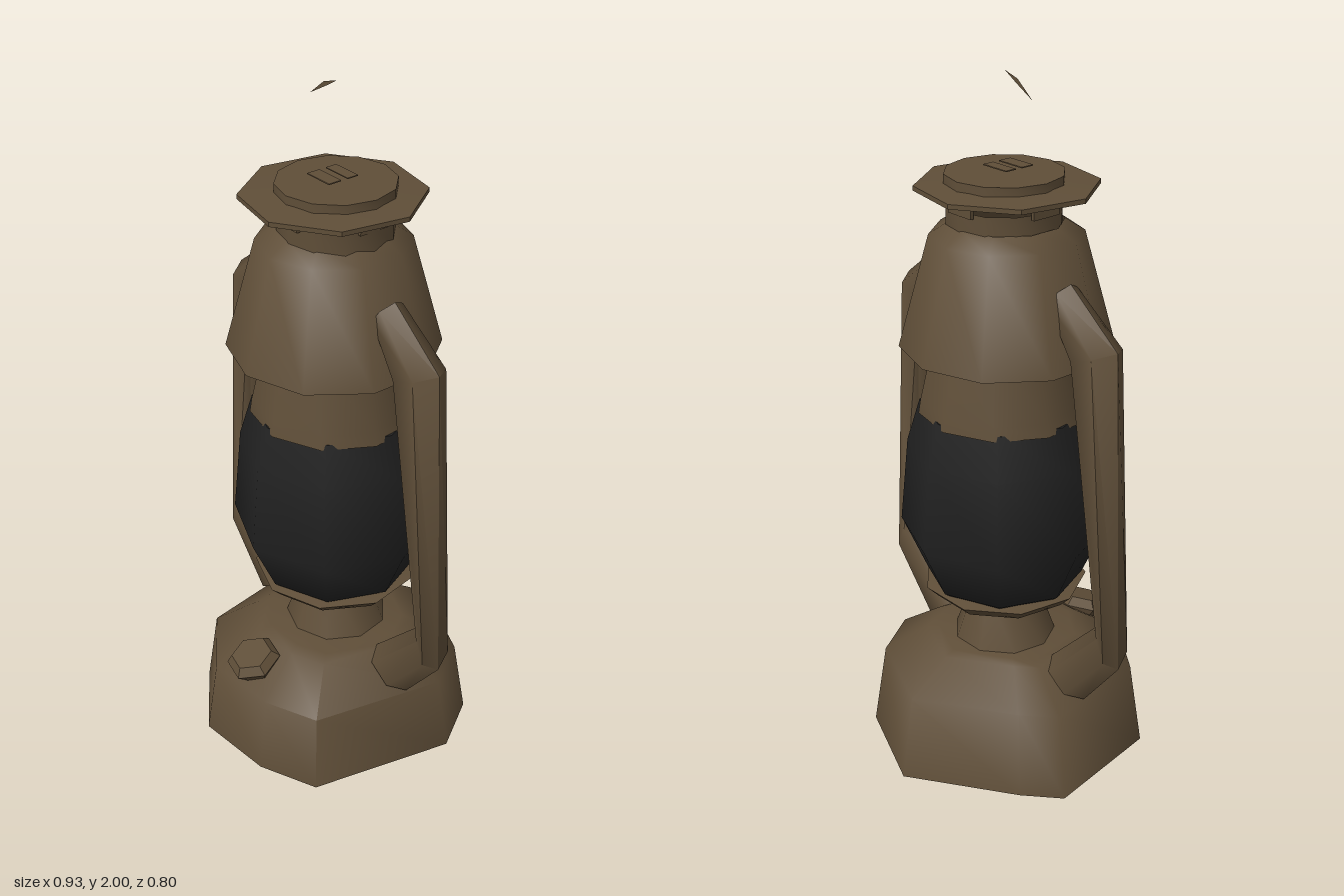
import * as THREE from 'three';
import { toCreasedNormals } from 'three/addons/utils/BufferGeometryUtils.js';

const bronze = new THREE.MeshStandardMaterial({ color: 0x5f4e38, side: THREE.DoubleSide });
bronze.name = 'aged bronze';
const soot = new THREE.MeshStandardMaterial({ color: 0x212121, side: THREE.DoubleSide });
soot.name = 'sooty black';

// Skin between rings of points, listed from bottom to top, with optional end caps
function loft(rings, capBottom = false, capTop = false, crease = 0.95) {
  const pos = [];
  const tri = (...pts) => pts.forEach((p) => pos.push(p.x, p.y, p.z));
  const n = rings[0].length;
  const centre = (ring) => ring.reduce((s, p) => s.add(p), new THREE.Vector3()).divideScalar(n);
  for (let r = 0; r < rings.length - 1; r++) {
    const a = rings[r], b = rings[r + 1];
    for (let i = 0; i < n; i++) {
      const j = (i + 1) % n;
      tri(a[i], a[j], b[i]);
      tri(a[j], b[j], b[i]);
    }
  }
  const first = rings[0], last = rings[rings.length - 1];
  for (let i = 0; i < n; i++) {
    const j = (i + 1) % n;
    if (capBottom) tri(first[j], first[i], centre(first));
    if (capTop) tri(last[i], last[j], centre(last));
  }
  const g = new THREE.BufferGeometry();
  g.setAttribute('position', new THREE.Float32BufferAttribute(pos, 3));
  return toCreasedNormals(g, crease);
}

// Few-sided turned rings from [radius, height] pairs
function turned(profile, sides, phase = 0) {
  return profile.map(([r, y]) => Array.from({ length: sides }, (_, i) => {
    const a = phase + (i / sides) * Math.PI * 2;
    return new THREE.Vector3(Math.sin(a) * r, y, Math.cos(a) * r);
  }));
}

export function createModel() {
  const model = new THREE.Group();
  model.name = 'lantern';
  const add = (name, geometry, material = bronze) => {
    const mesh = new THREE.Mesh(geometry, material);
    mesh.name = name;
    model.add(mesh);
    return mesh;
  };

  // Fuel tank with an irregular outline and a sloping shoulder
  const outline = [[-0.13, 0.395], [0.11, 0.375], [0.28, 0.3], [0.38, -0.12], [0.28, -0.28],
    [-0.01, -0.4], [-0.3, -0.205], [-0.395, -0.12], [-0.335, 0.25]];
  const tank = [[1, 0, 0], [0.91, 0.24, 0.012], [0.58, 0.33, 0.008], [0.5, 0.34, 0.005]].map(([s, y, shift]) =>
    outline.map(([x, z]) => new THREE.Vector3(x * s + shift, y, z * s + shift)));
  add('fuelTank', loft(tank, true, true, 1.15));

  // Tilted filler cap on the front shoulder
  const filler = add('fillerCap', loft(turned([[0.05, -0.045], [0.08, 0], [0.06, 0.025]], 6, 0.3), true, true, 0.4));
  filler.position.set(0, 0.308, 0.31);
  filler.rotation.x = 0.3;

  // Burner neck flaring into the globe holder
  add('burner', loft(turned([[0.15, 0.335], [0.095, 0.495], [0.205, 0.492], [0.238, 0.525], [0.19, 0.535]], 9)));

  // Dark globe
  add('globe', loft(turned([[0.205, 0.525], [0.225, 0.54], [0.298, 0.7], [0.275, 0.95], [0.238, 1.075]], 8),
    true, true, 1.1), soot);

  // Collar above the globe and the hood over it
  add('collar', loft(turned([[0.242, 1.06], [0.236, 1.1], [0.195, 1.28]], 10, 0.1)));
  const hood = add('hood', loft(turned([[0.195, 1.262], [0.296, 1.255], [0.21, 1.57], [0.155, 1.605]], 10)));
  hood.position.x = -0.01;

  // Chimney rim, posts and cap
  add('chimneyRim', loft(turned([[0.158, 1.585], [0.158, 1.655]], 12)));
  for (let i = 0; i < 4; i++) {
    const a = (i * Math.PI) / 2;
    const post = add('chimneyPost', new THREE.BoxGeometry(0.09, 0.06, 0.01));
    post.position.set(Math.sin(a) * 0.155 - 0.005, 1.675, Math.cos(a) * 0.155);
    post.rotation.y = a;
  }
  const brim = add('brim', loft(turned([[0.15, 1.695], [0.25, 1.691], [0.25, 1.704], [0.15, 1.712]], 8, 0.2), true, true, 0.5));
  brim.position.set(-0.005, 0, 0.006);
  add('cap', loft(turned([[0.163, 1.708], [0.163, 1.735]], 12), false, true));

  // Thin plate floating above the cap, split by a slot
  for (const [z, depth] of [[-0.022, 0.034], [0.036, 0.04]]) {
    const strip = add('topPlate', new THREE.BoxGeometry(0.09, 0.003, depth));
    strip.position.set(-0.005, 1.75, z);
  }

  // Thin sliver of the carrying handle
  const sliver = new THREE.Shape();
  sliver.moveTo(-0.108, 1.938);
  sliver.lineTo(-0.05, 1.985);
  sliver.lineTo(0, 2);
  sliver.lineTo(-0.045, 1.973);
  add('handleSliver', new THREE.ShapeGeometry(sliver));

  // Side arms: inner point, outer point and half depth of each section
  const sections = [
    [0.2, 0.335, 0.335, 0.25, 0.055],
    [0.41, 0.545, 0.467, 0.415, 0.055],
    [0.275, 1.29, 0.427, 1.345, 0.066],
    [0.19, 1.405, 0.25, 1.485, 0.045],
  ];
  for (const side of [1, -1]) {
    const rings = sections.map(([ix, iy, ox, oy, depth]) => {
      const ring = Array.from({ length: 6 }, (_, i) => {
        const a = ((i + 0.5) / 6) * Math.PI * 2, t = (1 + Math.sin(a)) / 2;
        return new THREE.Vector3(side * (ix + (ox - ix) * t), iy + (oy - iy) * t, 0.008 + depth * Math.cos(a));
      });
      return side > 0 ? ring : ring.reverse();
    });
    add(side > 0 ? 'leftArm' : 'rightArm', loft(rings, true, true, 1.1));
  }
  return model;
}
